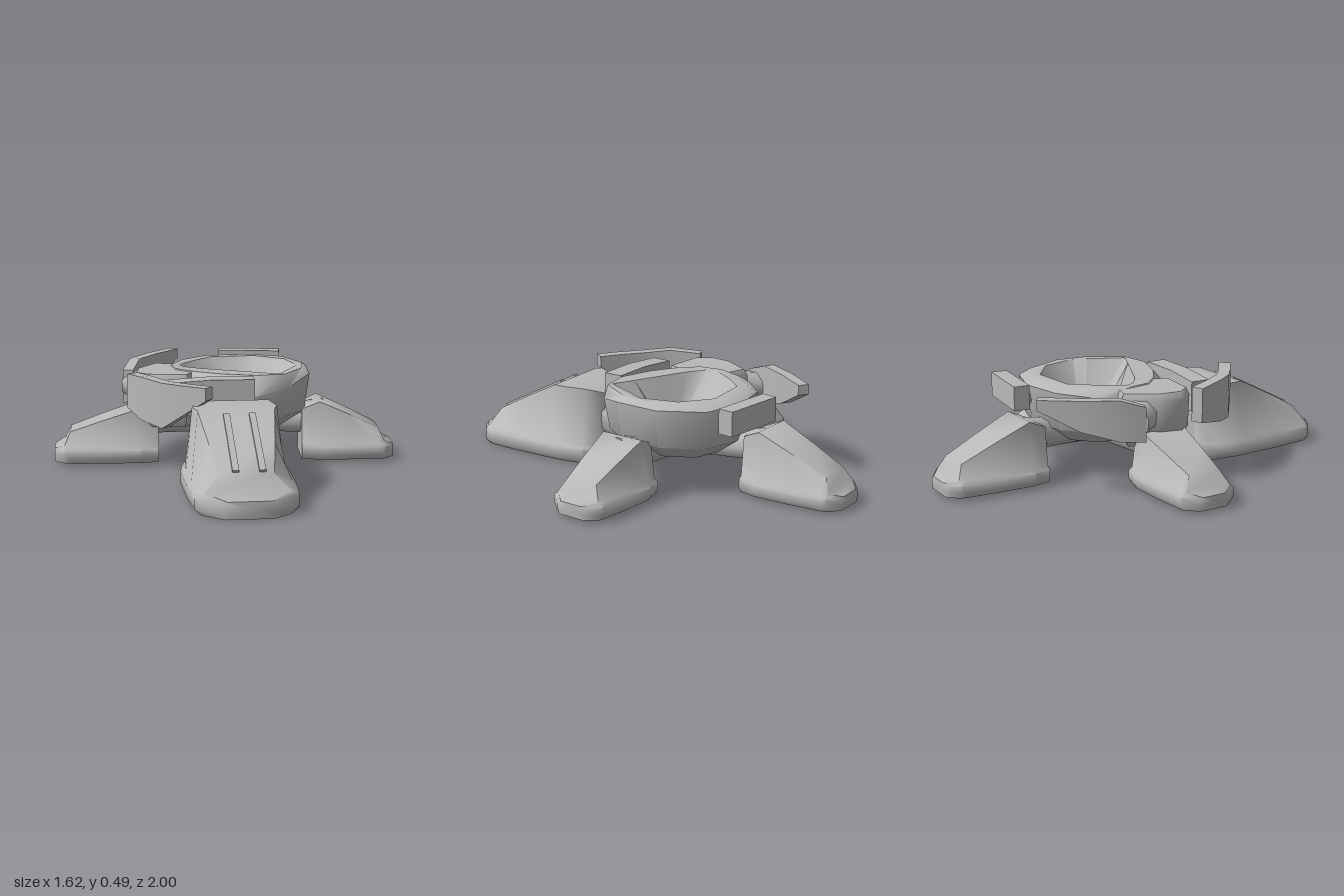
import * as THREE from 'three';
import { toCreasedNormals } from 'three/addons/utils/BufferGeometryUtils.js';

const grey = new THREE.MeshStandardMaterial({ color: 0xb8b8b8 });
grey.name = 'plain grey';

// Skin a series of closed rings (counter-clockwise seen from the end) and cap both ends
function loft(name, rings, crease = 0.85) {
  const n = rings[0].length, pos = rings.flat(2), idx = [];
  const mid = (r) => [0, 1, 2].map((k) => r.reduce((s, p) => s + p[k], 0) / n);
  const last = (rings.length - 1) * n, c0 = rings.length * n, c1 = c0 + 1;
  pos.push(...mid(rings[0]), ...mid(rings[rings.length - 1]));
  for (let i = 0; i < n; i++) {
    const j = (i + 1) % n;
    for (let r = 0; r < rings.length - 1; r++) {
      const a = r * n, b = a + n;
      idx.push(a + i, a + j, b + j, a + i, b + j, b + i);
    }
    idx.push(c0, j, i, c1, last + i, last + j);
  }
  const geo = new THREE.BufferGeometry();
  geo.setAttribute('position', new THREE.Float32BufferAttribute(pos, 3));
  geo.setIndex(idx);
  const mesh = new THREE.Mesh(toCreasedNormals(geo, crease), grey);
  mesh.name = name;
  return mesh;
}

// Foot: sections [distance outward, half sole width, half top width, top height]
function foot(name, x, z, dx, dz, y0, sections) {
  const group = new THREE.Group();
  group.name = name;
  group.position.set(x, 0, z);
  group.rotation.y = Math.atan2(dx, dz);
  group.add(loft('footShell', sections.map(([t, w, wt, h]) => {
    const s = Math.min(0.085, h - 0.015), c = Math.min(0.1, h - 0.005);
    return [
      [-w * 0.9, y0, t], [w * 0.9, y0, t], [w, y0 + 0.025, t], [w, s, t], [w - 0.02, c, t], [wt, h, t],
      [-wt, h, t], [-w + 0.02, c, t], [-w, s, t], [-w, y0 + 0.025, t],
    ];
  }), 0.95));
  return group;
}

// Upright plate along a path of [x, z, low y, high y]
function plate(name, path, thick) {
  return loft(name, path.map(([x, z, lo, hi], i) => {
    const a = path[Math.max(i - 1, 0)], b = path[Math.min(i + 1, path.length - 1)];
    const dx = b[0] - a[0], dz = b[1] - a[1], k = thick / 2 / Math.hypot(dx, dz);
    const nx = dz * k, nz = -dx * k;
    return [[x - nx, lo, z - nz], [x + nx, lo, z + nz], [x + nx, hi, z + nz], [x - nx, hi, z - nz]];
  }));
}

// Eight-sided strut between two points
function strut(name, from, to, r0, r1) {
  const a = new THREE.Vector3(...from), b = new THREE.Vector3(...to);
  const d = b.clone().sub(a);
  const mesh = new THREE.Mesh(toCreasedNormals(new THREE.CylinderGeometry(r1, r0, d.length(), 8), 0.85), grey);
  mesh.name = name;
  mesh.position.copy(a).addScaledVector(d, 0.5);
  mesh.quaternion.setFromUnitVectors(new THREE.Vector3(0, 1, 0), d.normalize());
  return mesh;
}

export function createModel() {
  const model = new THREE.Group();
  model.name = 'fourFootedBase';

  // Bowl body: shoulder points [x, z, y] and the matching inner edge
  const cx = 0.04, cz = -0.18;
  const outer = [
    [0.41, -0.2, 0.45], [0.32, -0.42, 0.45], [0.13, -0.56, 0.45], [-0.08, -0.53, 0.45],
    [-0.26, -0.4, 0.45], [-0.34, -0.21, 0.44], [-0.31, -0.04, 0.43], [-0.22, 0.11, 0.4],
    [-0.1, 0.17, 0.38], [0.05, 0.2, 0.37], [0.25, 0.16, 0.38], [0.37, 0, 0.41],
  ];
  const inner = [
    [0.32, -0.2], [0.32, -0.27], [0.2, -0.42], [0.02, -0.46], [-0.18, -0.34], [-0.22, -0.2],
    [-0.24, -0.06], [-0.2, -0.02], [-0.1, 0], [0.05, 0], [0.2, 0], [0.32, 0],
  ];
  const scaled = (s, y) => outer.map(([x, z]) => [cx + (x - cx) * s, y, cz + (z - cz) * s]);
  const rimLip = inner.map(([x, z], i) => [x * 0.45 + outer[i][0] * 0.55, 0.475, z * 0.45 + outer[i][1] * 0.55]);
  const floor = inner.map((_, i) => {
    const a = (Math.floor(i / 2) * Math.PI) / 3, b = a + Math.PI / 3, h = (i % 2) / 2;
    return [cx + 0.1 * (Math.cos(a) * (1 - h) + Math.cos(b) * h), 0.25,
      cz - 0.1 * (Math.sin(a) * (1 - h) + Math.sin(b) * h)];
  });
  model.add(loft('bowlBody', [
    scaled(0.35, 0.15), scaled(0.62, 0.18), scaled(0.93, 0.26),
    outer.map(([x, z, y]) => [x, y, z]), rimLip,
    inner.map(([x, z]) => [x, 0.475, z]), floor,
  ]));

  // Block bulging from the bowl's front right corner
  const block = [
    [-0.1, 0.03], [-0.25, -0.02], [-0.3, -0.11], [-0.4, -0.1], [-0.42, 0.08], [-0.38, 0.2], [-0.3, 0.24], [-0.1, 0.17],
  ];
  const blockRing = (s, y) => block.map(([x, z]) => [-0.2 + (x + 0.2) * s, y, 0.05 + (z - 0.05) * s]);
  model.add(loft('cornerBlock', [blockRing(0.75, 0.2), blockRing(0.97, 0.28), blockRing(1, 0.44), blockRing(0.92, 0.47)]));

  // Large front foot with its ankle block
  const front = foot('frontFoot', 0.285, 0.51, 0.46, 0.88, 0.005, [
    [-0.29, 0.17, 0.13, 0.37], [-0.22, 0.235, 0.18, 0.39], [-0.08, 0.255, 0.2, 0.39], [-0.02, 0.255, 0.18, 0.385],
    [0.2, 0.25, 0.15, 0.275], [0.38, 0.235, 0.12, 0.18], [0.41, 0.22, 0.19, 0.105], [0.49, 0.12, 0.1, 0.085],
  ]);
  // Raised rails on the instep
  for (const x of [-0.05, 0.07]) {
    const rail = new THREE.Mesh(new THREE.BoxGeometry(0.03, 0.03, 0.4), grey);
    rail.name = 'instepRail';
    rail.position.set(x, 0.274, 0.19);
    rail.rotation.x = Math.atan2(0.21, 0.41);
    front.add(rail);
  }
  model.add(front);

  // Three smaller feet
  const small = (len, top) => [
    [-0.06, 0.14, 0.1, top - 0.04], [0.03, 0.165, 0.115, top], [len / 2 - 0.02, 0.163, 0.1, top / 2 + 0.085],
    [len - 0.08, 0.15, 0.085, 0.17], [len - 0.05, 0.145, 0.12, 0.105], [len, 0.08, 0.06, 0.085],
  ];
  model.add(
    foot('backFoot', -0.21, -0.55, -0.42, -0.91, 0.02, small(0.46, 0.33)),
    foot('leftFoot', 0.4, -0.28, 0.92, -0.39, 0.02, small(0.41, 0.31)),
    foot('rightFoot', -0.36, 0.09, -0.91, 0.42, 0.02, small(0.46, 0.29)),
  );

  // Ankles running from the hub to each foot
  const hub = [cx, 0.185, cz];
  model.add(
    strut('frontAnkle', [0.13, 0.2, 0.06], [0.24, 0.25, 0.38], 0.08, 0.14),
    strut('backAnkle', hub, [-0.22, 0.24, -0.57], 0.05, 0.085),
    strut('leftAnkle', hub, [0.46, 0.22, -0.29], 0.05, 0.09),
    strut('rightAnkle', hub, [-0.4, 0.22, 0.1], 0.05, 0.08),
  );

  // Guard plates around the bowl
  model.add(
    plate('backGuard', [[-0.22, -0.56, 0.36, 0.48], [0.09, -0.66, 0.36, 0.48]], 0.08),
    plate('frontGuard', [[-0.14, 0.32, 0.31, 0.46], [0.05, 0.24, 0.29, 0.475], [0.24, 0.15, 0.32, 0.475]], 0.1),
    plate('sideBlade', [
      [-0.5, 0.0, 0.27, 0.44], [-0.515, -0.12, 0.28, 0.48], [-0.5, -0.3, 0.33, 0.48], [-0.46, -0.5, 0.43, 0.48],
    ], 0.055),
    plate('frontBlade', [
      [-0.35, 0.27, 0.31, 0.48], [-0.23, 0.38, 0.28, 0.49], [-0.1, 0.44, 0.26, 0.48],
      [0.02, 0.47, 0.34, 0.48], [0.14, 0.49, 0.42, 0.48],
    ], 0.06),
    strut('sideBladeMount', [-0.38, 0.36, -0.01], [-0.51, 0.36, -0.05], 0.09, 0.07),
    strut('frontBladeMount', [-0.05, 0.36, 0.25], [-0.08, 0.36, 0.43], 0.07, 0.06),
    strut('backGuardMount', [-0.04, 0.38, -0.5], [-0.07, 0.41, -0.6], 0.05, 0.05),
  );
  return model;
}
